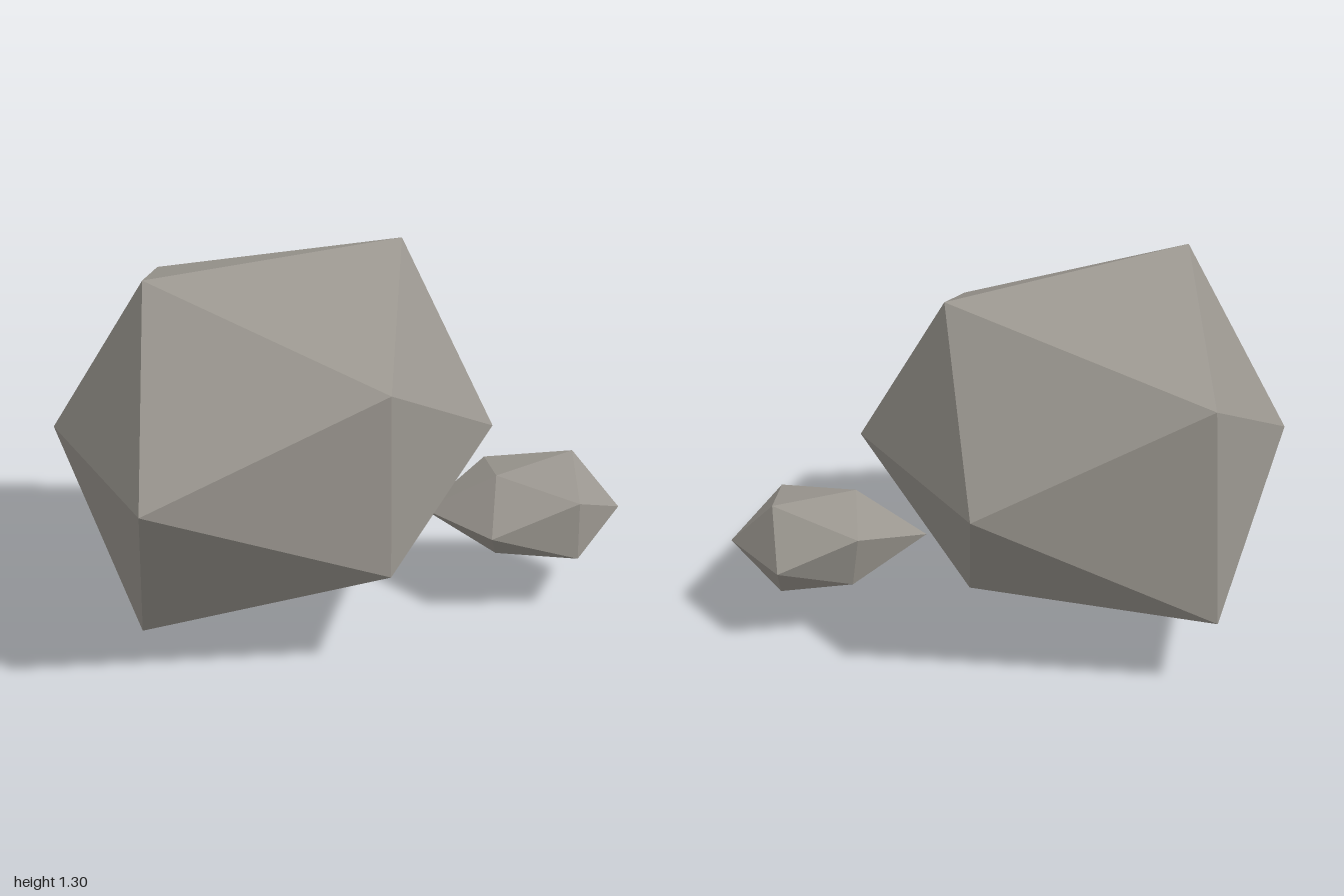
import * as THREE from 'three';

// Reshape a 20-sided ball: each corner is keyed by the rounded direction it points in.
function makeRock(name, corners, material) {
  const geometry = new THREE.IcosahedronGeometry(1, 0);
  const position = geometry.attributes.position;
  for (let i = 0; i < position.count; i++) {
    const key = [position.getX(i), position.getY(i), position.getZ(i)]
      .map((v) => Math.round(v))
      .join();
    position.setXYZ(i, ...corners[key]);
  }
  geometry.computeVertexNormals(); // unshared corners give flat facets
  const rock = new THREE.Mesh(geometry, material);
  rock.name = name;
  return rock;
}

export function createModel() {
  const stone = new THREE.MeshStandardMaterial({ color: 0x9a968f });
  stone.name = 'stone';
  stone.flatShading = true;

  const model = new THREE.Group();
  model.name = 'rocks';

  // Large boulder
  model.add(makeRock('boulder', {
    '-1,1,0': [-0.685, 1.297, 0.09],
    '1,1,0': [0.39, 1.297, 0.09],
    '-1,-1,0': [-0.715, 0, 0.09],
    '1,-1,0': [0.305, 0.14, 0.09],
    '0,1,1': [-0.147, 0.99, 0.813],
    '0,-1,1': [-0.147, 0.343, 0.825],
    '0,1,-1': [-0.147, 1.06, -0.783],
    '0,-1,-1': [-0.147, 0.263, -0.825],
    '1,0,1': [0.515, 0.67, 0.5],
    '1,0,-1': [0.58, 0.67, -0.36],
    '-1,0,1': [-1, 0.67, 0.613],
    '-1,0,-1': [-0.83, 0.67, -0.337],
  }, stone));

  // Small stone leaning on the boulder's left side
  model.add(makeRock('smallStone', {
    '-1,1,0': [0.558, 0.46, 0.475],
    '1,1,0': [0.91, 0.49, 0.475],
    '-1,-1,0': [0.565, 0.152, 0.475],
    '1,-1,0': [0.893, 0.132, 0.475],
    '0,1,1': [0.718, 0.41, 0.765],
    '0,-1,1': [0.718, 0.197, 0.765],
    '0,1,-1': [0.718, 0.413, 0.187],
    '0,-1,-1': [0.718, 0.213, 0.237],
    '1,0,1': [1, 0.303, 0.647],
    '1,0,-1': [0.99, 0.303, 0.305],
    '-1,0,1': [0.405, 0.303, 0.66],
    '-1,0,-1': [0.373, 0.303, 0.28],
  }, stone));

  return model;
}
